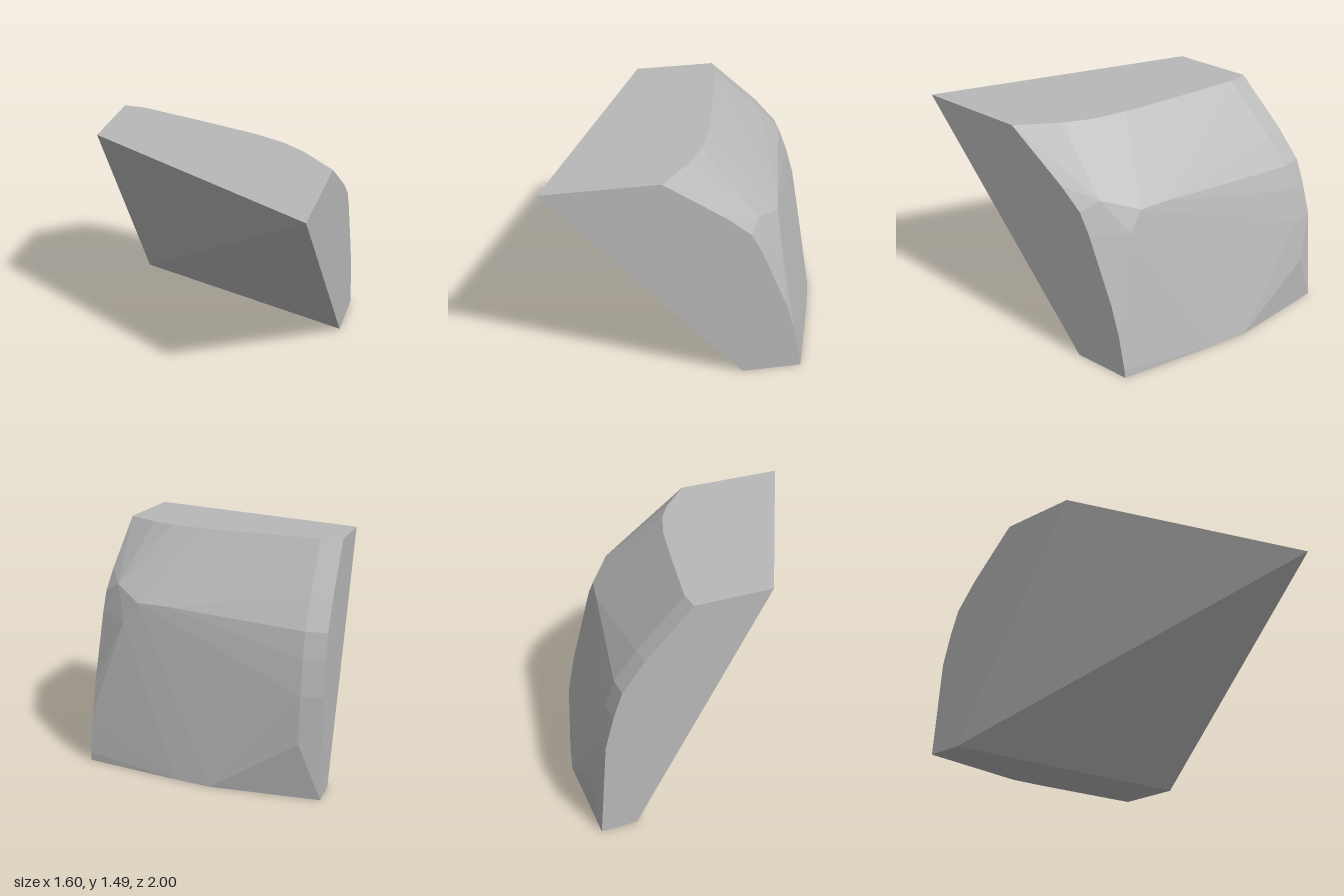
import * as THREE from 'three';
import { ConvexGeometry } from 'three/addons/geometries/ConvexGeometry.js';

const HALF = 0.8, TOP = 1.49;

export function createModel() {
  const model = new THREE.Group();
  model.name = 'model';
  const stone = new THREE.MeshStandardMaterial({ color: 0xb8b8b8, flatShading: true });
  stone.name = 'stone grey';

  const points = [];
  const add = (x, y, z) => points.push(new THREE.Vector3(x, y, z));

  // overhanging front face, split along one diagonal
  add(HALF, TOP, 1.0);
  add(HALF, 0, -0.27);
  add(-HALF, TOP, 0.17);
  add(-HALF, 0, -0.76);

  // curved back edge of the left side [y, z]
  [[TOP, 0.26], [1.2, -0.15], [1.07, -0.3], [0.94, -0.37], [0.5, -0.55], [0.3, -0.61], [0.05, -0.66], [0, -0.665]]
    .forEach(([y, z]) => add(HALF, y, z));

  // curved back edge of the right side, carried inward as a narrow straight band
  const rightEdge = [[TOP, -0.36], [1.18, -0.68], [1.0, -0.83], [0.84, -0.89], [0.63, -0.95]];
  for (const x of [-HALF, -0.66]) rightEdge.forEach(([y, z]) => add(x, y, z));
  add(-HALF, 0, -1.0);
  add(-0.66, 0.34, -1.0);

  // back edge of the top [x, z]
  [[-0.2, -0.246], [0.18, -0.145], [0.41, -0.055], [0.57, 0.05]]
    .forEach(([x, z]) => add(x, TOP, z));

  // back edge of the base [x, z]
  [[-0.09, -0.95], [0.15, -0.88]].forEach(([x, z]) => add(x, 0, z));

  // rounded shoulder on the back
  add(0.3, 1.05, -0.59);
  add(0.5, 1.05, -0.54);
  add(0.6, 0.92, -0.54);
  add(0.69, 1.13, -0.37);

  const block = new THREE.Mesh(new ConvexGeometry(points), stone);
  block.name = 'curvedBlock';
  model.add(block);
  return model;
}
